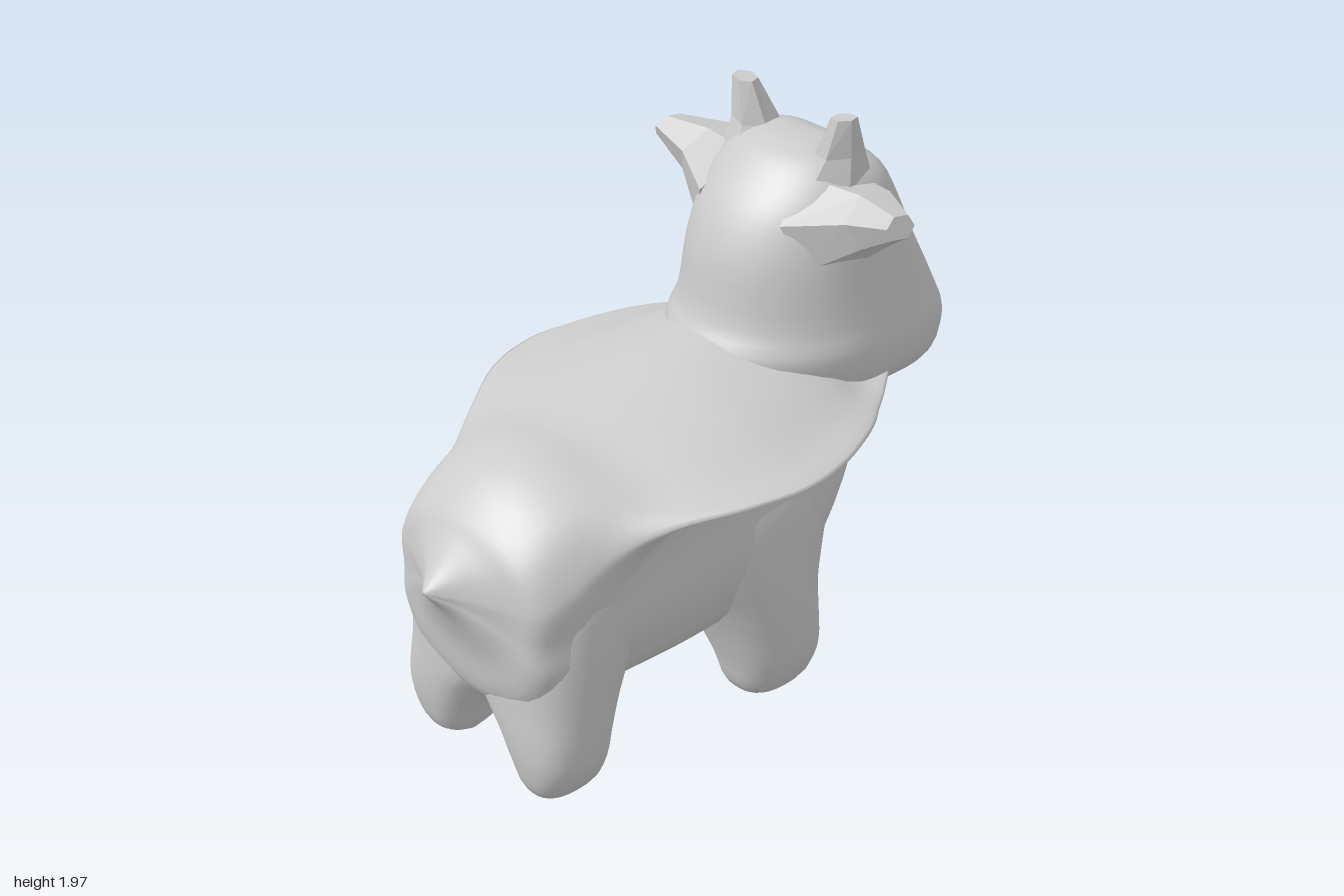
import * as THREE from 'three';

const V = (x, y, z) => new THREE.Vector3(x, y, z);

// Skin a list of closed rings, smoothed lengthwise, with fan caps on both ends.
function loft(rings, { steps = 1, flat = false } = {}) {
  const n = rings[0].length;
  let rows = rings;
  if (steps > 1) {
    const count = (rings.length - 1) * steps;
    const columns = rings[0].map((_, i) => new THREE.CatmullRomCurve3(rings.map(r => r[i])));
    rows = Array.from({ length: count + 1 }, (_, k) => columns.map(c => c.getPoint(k / count)));
  }
  const pos = [], idx = [];
  rows.forEach(r => r.forEach(p => pos.push(p.x, p.y, p.z)));
  for (let k = 0; k < rows.length - 1; k++) {
    for (let i = 0; i < n; i++) {
      const j = (i + 1) % n, a = k * n + i, b = k * n + j;
      idx.push(a, b, a + n, b, b + n, a + n);
    }
  }
  [0, rows.length - 1].forEach(k => {
    const c = rows[k].reduce((s, p) => s.add(p), V(0, 0, 0)).divideScalar(n);
    const m = pos.length / 3;
    pos.push(c.x, c.y, c.z);
    for (let i = 0; i < n; i++) {
      const a = k * n + i, b = k * n + (i + 1) % n;
      k === 0 ? idx.push(m, b, a) : idx.push(m, a, b);
    }
  });
  // Make the faces point outwards whichever way the rings run.
  const at = i => V(pos[3 * i], pos[3 * i + 1], pos[3 * i + 2]);
  let volume = 0;
  for (let i = 0; i < idx.length; i += 3) {
    volume += at(idx[i]).dot(at(idx[i + 1]).cross(at(idx[i + 2])));
  }
  if (volume < 0) idx.reverse();
  const g = new THREE.BufferGeometry();
  g.setAttribute('position', new THREE.Float32BufferAttribute(pos, 3));
  g.setIndex(idx);
  g.computeVertexNormals();
  const material = new THREE.MeshStandardMaterial({ color: 0xcccccc, flatShading: flat });
  return new THREE.Mesh(g, material);
}

// Horizontal superellipse ring; the -z half may be boxier than the +z half.
function flatRing(y, x0, x1, z0, z1, nBack = 2.3, nFront = 2.3, sides = 28) {
  return Array.from({ length: sides }, (_, i) => {
    const a = i / sides * Math.PI * 2, c = Math.cos(a), s = Math.sin(a);
    const e = 2 / (s < 0 ? nBack : nFront);
    return V((x0 + x1) / 2 + (x1 - x0) / 2 * Math.sign(c) * Math.abs(c) ** e, y,
      (z0 + z1) / 2 + (z1 - z0) / 2 * Math.sign(s) * Math.abs(s) ** e);
  });
}

// Upright body ring: top T, bottom B, side width W, flange reach F at height fy.
function bodyRing([z, T, B, W, F, fy, wing]) {
  const mix = THREE.MathUtils.lerp, drop = T - fy, h = fy - B;
  const half = [
    V(0, T, z),
    V(F * 0.45, T - drop * mix(0.13, 0.35, wing), z),
    V(F * 0.8, T - drop * mix(0.45, 0.82, wing), z),
    V(F, fy, z),
    V(mix(W, F, 0.4), fy - mix(h * 0.12, 0.035, wing), z),
    V(W * 0.97, fy - h * mix(0.3, 0.12, wing), z),
    V(W * 0.98, B + h * 0.46, z),
    V(W * 0.74, B + h * 0.16, z),
    V(0, B, z),
  ];
  const mirrored = half.slice(1, -1).reverse().map(p => V(-p.x, p.y, p.z));
  const curve = new THREE.CatmullRomCurve3([...half, ...mirrored], true);
  return Array.from({ length: 64 }, (_, i) => curve.getPoint(i / 64));
}

// Faceted stub made of tilted polygons: [centre, radius a, radius b] along axes u, v.
function stub(sections, u, v, sides) {
  return loft(sections.map(([c, ra, rb]) => Array.from({ length: sides }, (_, i) => {
    const a = (i + 0.25) / sides * Math.PI * 2;
    return c.clone().addScaledVector(u, Math.cos(a) * ra).addScaledVector(v, Math.sin(a) * rb);
  })), { flat: true });
}

export function createModel() {
  const model = new THREE.Group();
  const add = (name, mesh) => { mesh.name = name; model.add(mesh); };

  // Body, from the pointed tail to the chest, with the flared cape over the back
  const body = [
    // z, top, bottom, width, flange, flange y, wing
    [1.0, 0.785, 0.77, 0.01, 0.01, 0.778, 0],
    [0.935, 0.85, 0.68, 0.09, 0.09, 0.77, 0],
    [0.875, 0.92, 0.53, 0.22, 0.22, 0.77, 0],
    [0.83, 0.98, 0.34, 0.34, 0.33, 0.78, 0],
    [0.72, 1.07, 0.28, 0.385, 0.37, 0.84, 0],
    [0.58, 1.12, 0.28, 0.4, 0.4, 0.92, 0.15],
    [0.42, 1.13, 0.27, 0.41, 0.49, 0.99, 0.7],
    [0.22, 1.18, 0.265, 0.42, 0.61, 1.03, 1],
    [0.02, 1.23, 0.28, 0.425, 0.66, 1.04, 1],
    [-0.15, 1.26, 0.3, 0.425, 0.64, 1.045, 1],
    [-0.3, 1.28, 0.34, 0.42, 0.59, 1.055, 1],
    [-0.4, 1.28, 0.48, 0.4, 0.54, 1.06, 1],
    [-0.47, 1.25, 0.7, 0.38, 0.49, 1.065, 1],
    [-0.53, 1.23, 0.93, 0.33, 0.45, 1.07, 1],
    [-0.68, 1.2, 1.02, 0.28, 0.34, 1.1, 1],
  ];
  add('body', loft(body.map(bodyRing), { steps: 4 }));

  // Head, boxy at the muzzle and round at the neck
  const head = [
    // y, half width, muzzle z, neck z
    [0.99, 0.18, -0.82, -0.52],
    [1.01, 0.29, -0.89, -0.4],
    [1.08, 0.37, -0.965, -0.2],
    [1.2, 0.385, -1.0, -0.11],
    [1.3, 0.365, -0.965, -0.165],
    [1.5, 0.33, -0.87, -0.2],
    [1.65, 0.3, -0.805, -0.265],
    [1.75, 0.26, -0.755, -0.35],
    [1.81, 0.19, -0.69, -0.42],
    [1.84, 0.09, -0.61, -0.5],
  ];
  add('head', loft(head.map(([y, w, z0, z1]) => flatRing(y, -w, w, z0, z1, 4.2, 2, 40)), { steps: 3 }));

  // Legs: y, inner x, outer x, z range
  const rearLeg = [
    [0.0, 0.2, 0.24, 0.66, 0.7],
    [0.05, 0.16, 0.33, 0.57, 0.8],
    [0.16, 0.11, 0.39, 0.545, 0.835],
    [0.26, 0.05, 0.4, 0.52, 0.845],
    [0.38, -0.06, 0.4, 0.47, 0.845],
    [0.6, -0.08, 0.4, 0.38, 0.835],
    [0.8, 0.0, 0.375, 0.36, 0.78],
    [0.94, 0.05, 0.3, 0.4, 0.68],
  ];
  const frontLeg = [
    [0.02, 0.22, 0.28, -0.24, -0.14],
    [0.06, 0.17, 0.38, -0.32, -0.06],
    [0.18, 0.12, 0.435, -0.36, -0.02],
    [0.32, 0.05, 0.445, -0.365, 0.03],
    [0.45, -0.04, 0.445, -0.375, 0.09],
    [0.6, -0.06, 0.438, -0.42, 0.17],
    [0.78, 0.0, 0.42, -0.46, 0.2],
    [0.94, 0.06, 0.36, -0.45, 0.12],
  ];

  for (const [side, s] of [['left', 1], ['right', -1]]) {
    for (const [name, leg] of [['RearLeg', rearLeg], ['FrontLeg', frontLeg]]) {
      const rings = leg.map(([y, x0, x1, z0, z1]) => flatRing(y, s * x0, s * x1, z0, z1, 2.6, 2.6));
      add(side + name, loft(rings, { steps: 3 }));
    }
    // Ear, wide at the head, swept towards the neck and blunt at the tip
    add(side + 'Ear', stub([
      [V(s * 0.2, 1.61, -0.51), 0.17, 0.21],
      [V(s * 0.38, 1.67, -0.53), 0.095, 0.13],
      [V(s * 0.53, 1.715, -0.485), 0.04, 0.06],
    ], V(-s * 0.4, 0.92, 0), V(0, 0, 1), 6));
    // Horn, a short blunt spike
    add(side + 'Horn', stub([
      [V(s * 0.16, 1.72, -0.56), 0.12, 0.14],
      [V(s * 0.19, 1.83, -0.56), 0.075, 0.085],
      [V(s * 0.222, 1.965, -0.54), 0.045, 0.04],
    ], V(0.98, s * 0.12, 0), V(0, 0, 1), 6));
  }
  return model;
}
